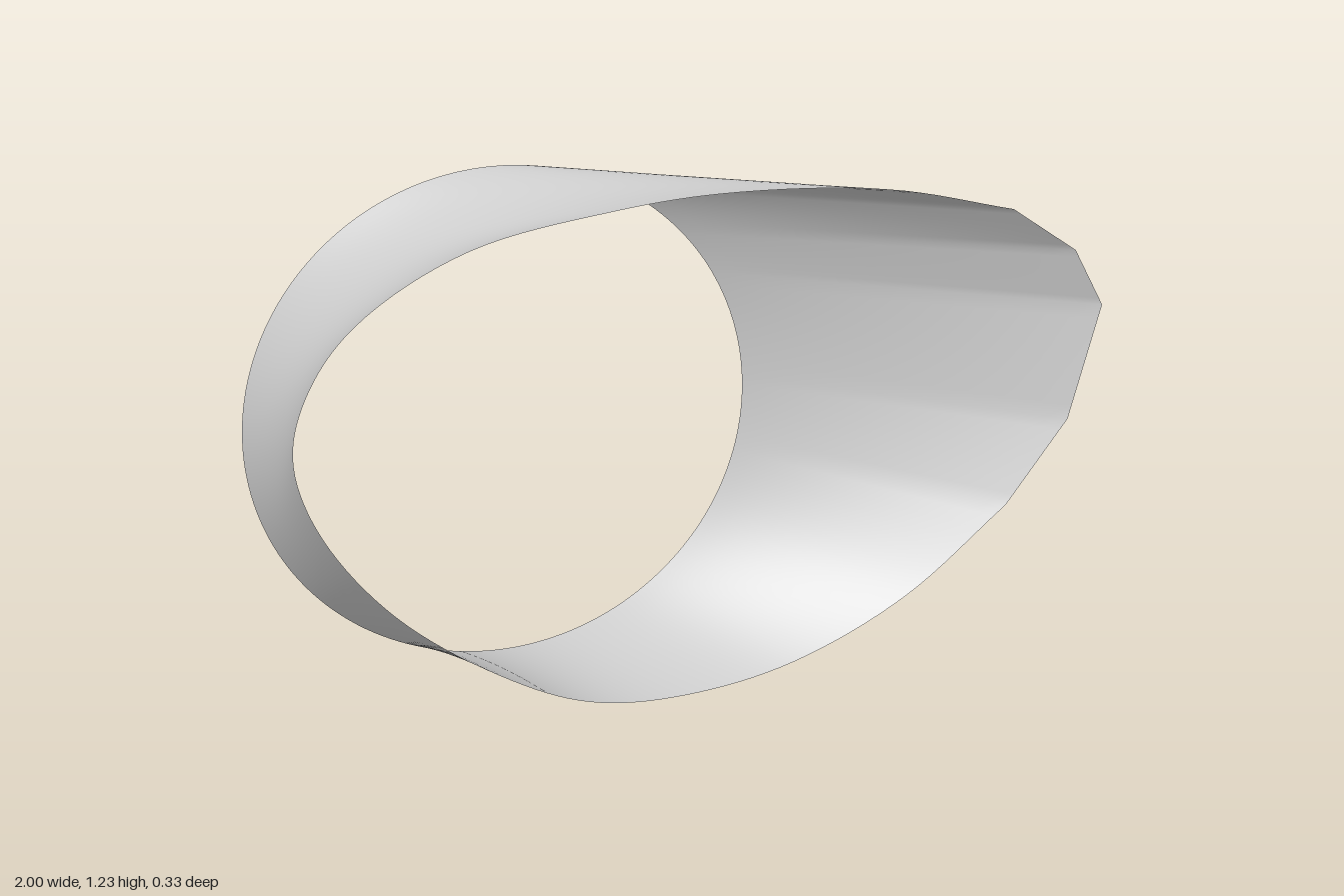
import * as THREE from 'three';

const HALF_DEPTH = 0.165;

// Front rim: x, y and the angle (degrees) of the back-circle point it joins.
const smoothRim = [
  [0.73, 1.1, 64], [0.4, 1.175, 88], [0, 1.2, 115], [-0.25, 1.183, 130],
  [-0.55, 1.13, 151], [-0.79, 1.0, 174], [-0.9, 0.86, 191], [-0.935, 0.72, 205],
  [-0.89, 0.55, 219], [-0.75, 0.34, 237], [-0.53, 0.15, 256], [-0.32, 0.035, 274],
  [-0.08, 0, 293], [0.2, 0.03, 311], [0.5, 0.15, 329], [0.77, 0.35, 346],
];
// The tip of the front rim is made of a few straight runs.
const tipRim = [[0.77, 0.35, 346], [0.93, 0.555, 363], [1, 0.84, 390], [0.91, 0.985, 404], [0.73, 1.1, 424]];

const toVector = ([x, y, deg]) => new THREE.Vector3(x, y, THREE.MathUtils.degToRad(deg));

function sampleRim() {
  const points = new THREE.CatmullRomCurve3(smoothRim.map(toVector)).getPoints(120);
  const tip = tipRim.map(toVector);
  for (let i = 0; i < tip.length - 1; i++) {
    for (let k = 1; k <= 8; k++) points.push(tip[i].clone().lerp(tip[i + 1], k / 8));
  }
  points.pop(); // last point meets the first
  return points;
}

// Twisted ruled band from the round back rim to the pointed front rim
function bandGeometry(rows = 16) {
  const rim = sampleRim();
  const n = rim.length;
  const positions = [];
  const indices = [];
  for (let r = 0; r <= rows; r++) {
    const t = r / rows;
    for (const p of rim) {
      const backX = -0.4 + 0.6 * Math.cos(p.z);
      const backY = 0.626 + 0.6 * Math.sin(p.z);
      positions.push(
        THREE.MathUtils.lerp(backX, p.x, t),
        THREE.MathUtils.lerp(backY, p.y, t),
        THREE.MathUtils.lerp(-HALF_DEPTH, HALF_DEPTH, t),
      );
    }
  }
  for (let r = 0; r < rows; r++) {
    for (let i = 0; i < n; i++) {
      const a = r * n + i;
      const b = r * n + ((i + 1) % n);
      indices.push(a, b, b + n, a, b + n, a + n);
    }
  }
  const geometry = new THREE.BufferGeometry();
  geometry.setAttribute('position', new THREE.Float32BufferAttribute(positions, 3));
  geometry.setIndex(indices);
  geometry.computeVertexNormals();
  return geometry;
}

export function createModel() {
  const group = new THREE.Group();
  group.name = 'twistedRing';
  const material = new THREE.MeshStandardMaterial({ color: 0xcccccc, side: THREE.DoubleSide });
  const band = new THREE.Mesh(bandGeometry(), material);
  band.name = 'band';
  group.add(band);
  return group;
}
